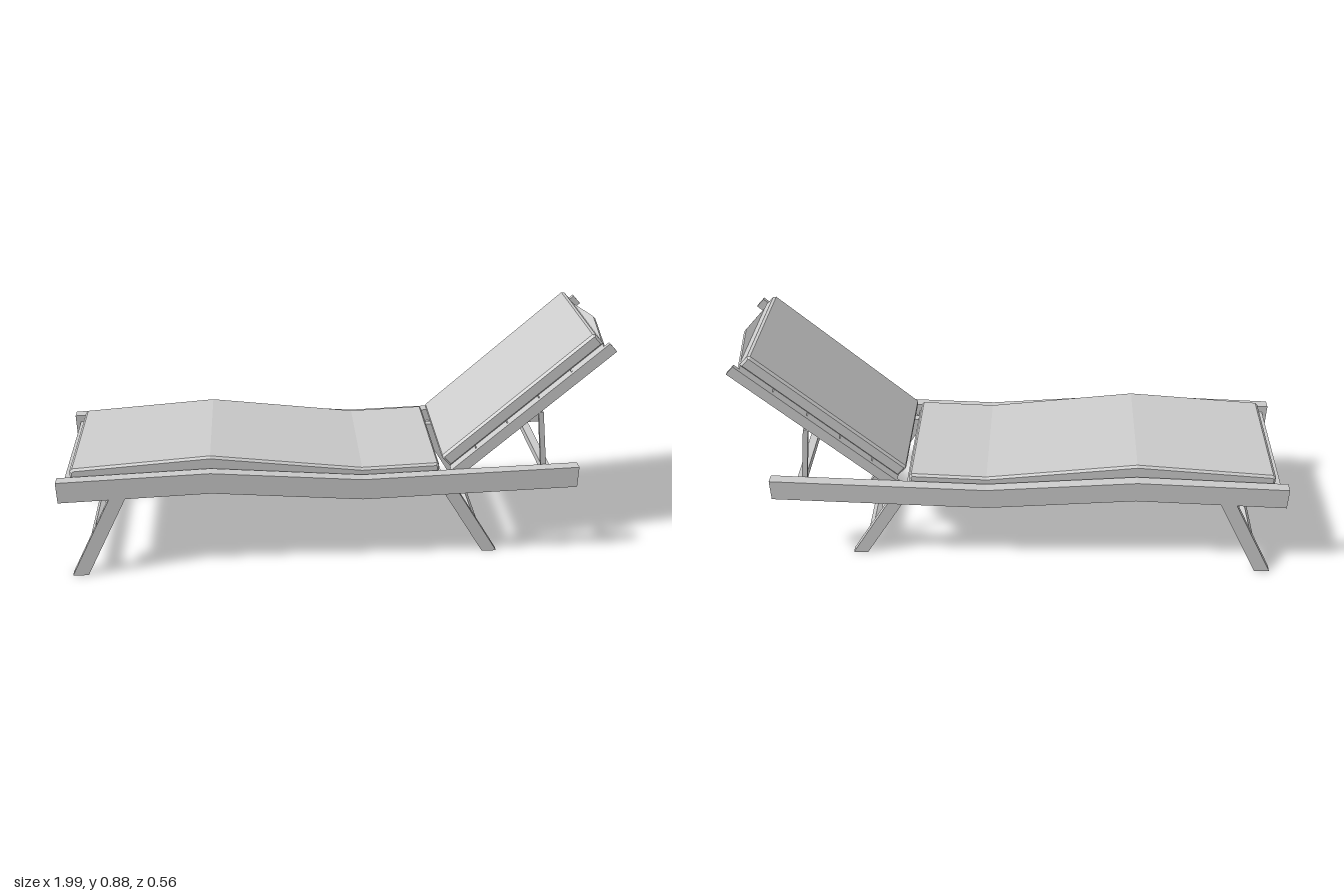
import * as THREE from 'three';

const material = new THREE.MeshStandardMaterial({ color: 0xcccccc, flatShading: true });

// Adds a named mesh to a parent
function add(parent, name, geometry) {
  const mesh = new THREE.Mesh(geometry, material);
  mesh.name = name;
  parent.add(mesh);
  return mesh;
}

// Side profile in x/y, extruded from z0 to z1 with an optional chamfer on the sides
function slab(points, z0, z1, chamfer = 0) {
  const shape = new THREE.Shape(points.map(([x, y]) => new THREE.Vector2(x, y)));
  const geometry = new THREE.ExtrudeGeometry(shape, {
    depth: z1 - z0 - 2 * chamfer,
    bevelEnabled: chamfer > 0,
    bevelThickness: chamfer,
    bevelSize: chamfer,
    bevelOffset: -chamfer,
    bevelSegments: 1,
  });
  return geometry.translate(0, 0, z0 + chamfer);
}

// The same slab on both sides
function pair(parent, name, points, z0, z1) {
  add(parent, name + 'Left', slab(points, -z1, -z0));
  add(parent, name + 'Right', slab(points, z0, z1));
}

// Bar across the width, tilted about z
function crossbar(parent, name, x, y, w, h, halfLength, angle = 0) {
  const bar = add(parent, name, new THREE.BoxGeometry(w, h, halfLength * 2));
  bar.position.set(x, y, 0);
  bar.rotation.z = angle;
  return bar;
}

// Wavy line followed by side rails, seat slats and cushion
const wave = [[-1, 0.4], [-0.45, 0.418], [0.1, 0.37], [0.895, 0.39]];
function waveY(x) {
  const i = x < wave[1][0] ? 0 : x < wave[2][0] ? 1 : 2;
  const [a, b] = [wave[i], wave[i + 1]];
  return a[1] + ((x - a[0]) / (b[0] - a[0])) * (b[1] - a[1]);
}
// Closed band between two offsets from the wave
function band(xs, low, high) {
  return [
    ...xs.map((x) => [x, waveY(x) + low]),
    ...[...xs].reverse().map((x) => [x, waveY(x) + high]),
  ];
}

export function createModel() {
  const model = new THREE.Group();
  model.name = 'sunLounger';

  // Side rails
  pair(model, 'sideRail', band([-1, -0.45, 0.1, 0.895], -0.083, 0), 0.245, 0.282);

  // Seat slats along the three straight runs
  const seat = new THREE.Group();
  seat.name = 'seatSlats';
  model.add(seat);
  for (const [start, end, count] of [[-0.95, -0.45, 4], [-0.45, 0.1, 4], [0.1, 0.4, 2]]) {
    const step = (end - start) / count;
    for (let i = 0; i < count; i++) {
      const x0 = start + i * step + 0.002;
      const x1 = start + (i + 1) * step - 0.002;
      add(seat, 'seatSlat', slab(band([x0, x1], -0.048, -0.03), -0.245, 0.245));
    }
  }

  // Seat cushion with chamfered ends
  const cushionProfile = [
    ...[-0.955, -0.45, 0.1, 0.385].map((x) => [x, waveY(x) - 0.03]),
    [0.385, waveY(0.385) + 0.014],
    [0.377, waveY(0.377) + 0.024],
    [0.1, waveY(0.1) + 0.022],
    [-0.45, waveY(-0.45) + 0.044],
    [-0.945, waveY(-0.945) + 0.026],
    [-0.955, waveY(-0.955) + 0.016],
  ];
  add(model, 'seatCushion', slab(cushionProfile, -0.238, 0.238, 0.008));

  // Legs: the foot-end pair sits under the rails, the head-end pair inside them
  pair(model, 'footLeg', [[-0.98, 0], [-0.922, 0], [-0.755, 0.335], [-0.813, 0.335]], 0.25, 0.282);
  pair(model, 'headLeg', [[0.57, 0], [0.625, 0], [0.425, 0.335], [0.37, 0.335]], 0.2, 0.227);
  crossbar(model, 'footLegBrace', -0.908, 0.085, 0.02, 0.045, 0.252, -0.46);
  crossbar(model, 'headLegBrace', 0.547, 0.085, 0.02, 0.045, 0.202, 0.54);

  // Pivots between the head legs and the rails
  for (const side of [-1, 1]) {
    const pivot = add(model, 'legPivot', new THREE.CylinderGeometry(0.01, 0.01, 0.03, 12));
    pivot.rotation.x = Math.PI / 2;
    pivot.position.set(0.415, 0.32, side * 0.235);
  }

  // Bars joining the rails at both ends
  crossbar(model, 'footEndBar', -0.97, 0.36, 0.022, 0.026, 0.247);
  crossbar(model, 'headEndBar', 0.79, 0.348, 0.03, 0.026, 0.247);

  // Struts propping the backrest
  pair(model, 'backStrut', [[0.766, 0.345], [0.786, 0.345], [0.752, 0.6], [0.734, 0.6]], 0.228, 0.242);

  // Backrest, built flat along x and tilted up
  const back = new THREE.Group();
  back.name = 'backrest';
  back.position.set(0.43, 0.375, 0);
  back.rotation.z = THREE.MathUtils.degToRad(42.4);
  model.add(back);
  pair(back, 'backRail', [[-0.01, -0.042], [0.722, -0.042], [0.722, 0], [-0.01, 0]], 0.228, 0.242);

  // Back slats, the last one ending in a shallow point
  const edges = [-0.005, 0.118, 0.265, 0.411, 0.558];
  for (let i = 0; i < 4; i++) {
    const a = edges[i] + 0.002;
    const b = edges[i + 1] - 0.002;
    add(back, 'backSlat', slab([[a, -0.016], [b, -0.016], [b, -0.002], [a, -0.002]], -0.228, 0.228));
  }
  const crest = new THREE.Shape([
    [0.56, -0.228], [0.697, -0.228], [0.733, 0], [0.697, 0.228], [0.56, 0.228],
  ].map(([x, y]) => new THREE.Vector2(x, y)));
  const crestGeometry = new THREE.ExtrudeGeometry(crest, { depth: 0.014, bevelEnabled: false });
  crestGeometry.rotateX(-Math.PI / 2).translate(0, -0.016, 0);
  add(back, 'crestSlat', crestGeometry);

  // Back cushion
  const backCushion = [
    [0, 0], [0.704, 0], [0.704, 0.047], [0.696, 0.055], [0.008, 0.055], [0, 0.047],
  ];
  add(back, 'backCushion', slab(backCushion, -0.217, 0.217, 0.008));

  return model;
}
